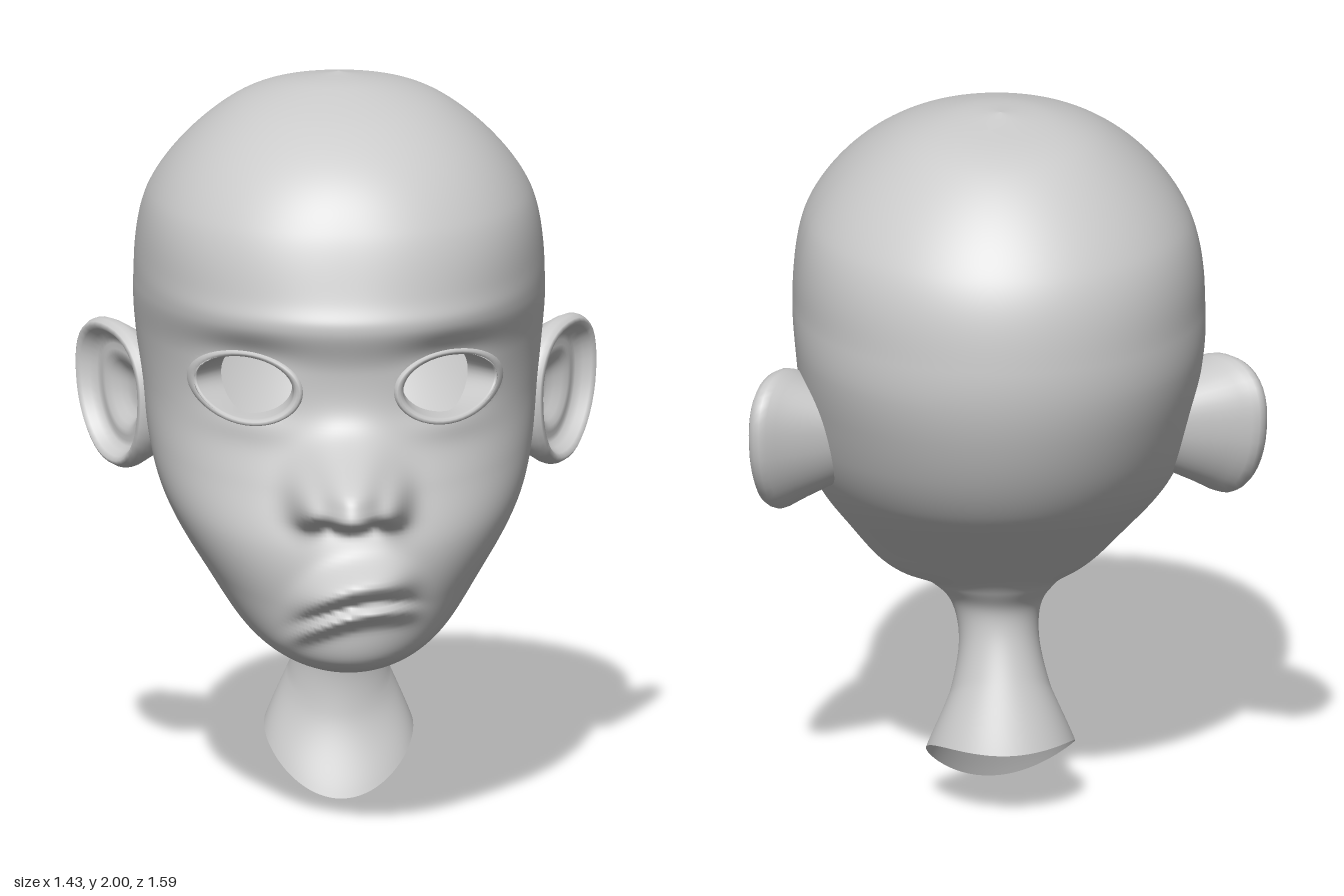
import * as THREE from 'three';

const curve = (pts) => new THREE.CatmullRomCurve3(pts.map((p) => new THREE.Vector3(...p)), false, 'catmullrom');
const bell = (d) => Math.exp(-d * d);
const bump = (x, y, cx, cy, sx, sy) => bell((x - cx) / sx) * bell((y - cy) / sy);

// Front profile from neck base over chin, mouth and brow to the crown: z, y
const FRONT = curve([
  [0.01, 0], [-0.06, 0.22], [-0.04, 0.41], [0.1, 0.52], [0.28, 0.53], [0.49, 0.468], [0.63, 0.51],
  [0.66, 0.66], [0.655, 0.82], [0.585, 0.98], [0.52, 1.14], [0.51, 1.3], [0.545, 1.42], [0.52, 1.5],
  [0.46, 1.68], [0.355, 1.82], [0.19, 1.92], [-0.03, 1.985], [-0.2, 2],
]);
// Back profile from nape to crown: z, y, with the half width of the head there
const BACK = curve([
  [-0.41, 0.2, 0.205], [-0.285, 0.51, 0.11], [-0.32, 0.64, 0.175], [-0.43, 0.76, 0.32], [-0.64, 0.97, 0.495],
  [-0.755, 1.21, 0.545], [-0.785, 1.44, 0.565], [-0.725, 1.69, 0.525], [-0.5, 1.92, 0.305], [-0.2, 2, 0],
]);
// Ear section from its root behind, over the rim, into the bowl: scale, outward offset
const EAR = curve([[0.55, -0.17], [0.84, -0.06], [1, 0], [0.9, 0.036], [0.72, -0.01], [0.5, -0.012], [0.25, -0.045], [0, -0.05]]);

const HALF = 80, COLS = HALF * 2, ROWS = 253;
const EYE = { x: 0.28, y: 1.245, a: 0.137, b: 0.09 };

// Forward relief of nose, lips and brow
function relief(x, y) {
  const ax = Math.abs(x);
  // nose: long slope above the tip, blunt step below, wings and nostrils
  const ridge = y > 0.99 ? bell((y - 0.99) / 0.1) : Math.exp(-(((0.99 - y) / 0.09) ** 6));
  let d = 0.205 * ridge * Math.exp(-((ax / 0.105) ** 2.4));
  d += 0.075 * bump(ax, y, 0.12, 0.96, 0.042, 0.06);
  d -= 0.06 * bump(ax, y, 0.06, 0.91, 0.03, 0.02);
  // crooked, downturned lips
  const m = y - (0.685 + 0.23 * x - 1.4 * x * x);
  const lips = 0.1 * bell((m - 0.055) / 0.05) + 0.065 * bell((m + 0.028) / 0.03) - 0.025 * bell(m / 0.015);
  d += lips * Math.exp(-(((x - 0.01) / 0.15) ** 4));
  // hollow under the brow, lower lid
  d -= 0.02 * bump(ax, y, 0.28, 1.345, 0.12, 0.05);
  d += 0.012 * bump(ax, y, 0.28, 1.14, 0.12, 0.04);
  return d;
}

// Closed loops joined into a surface
function loops(rows, cols, point, { flip = false, keep = () => true } = {}) {
  const pos = [], index = [];
  for (let i = 0; i < rows; i++) for (let j = 0; j < cols; j++) pos.push(...point(i, j));
  for (let i = 0; i < rows - 1; i++) for (let j = 0; j < cols; j++) {
    const a = i * cols + j, b = i * cols + ((j + 1) % cols), c = a + cols, d = b + cols;
    for (const t of [[a, b, c], [b, d, c]]) if (keep(t)) index.push(...(flip ? t.reverse() : t));
  }
  const g = new THREE.BufferGeometry();
  g.setAttribute('position', new THREE.Float32BufferAttribute(pos, 3));
  g.setIndex(index);
  g.computeVertexNormals();
  return g;
}

export function createModel() {
  const model = new THREE.Group();
  model.name = 'head';
  const add = (geo, name) => {
    const mesh = new THREE.Mesh(geo, new THREE.MeshStandardMaterial({ color: 0xcccccc, side: THREE.DoubleSide }));
    mesh.name = name;
    model.add(mesh);
  };

  // Face, skull and neck in one skin of tilted loops, open at the eyes and neck
  const face = [], inEye = new Set();
  const skinPoint = (i, j) => {
    const { x: zf, y: yf } = FRONT.getPoint(i / (ROWS - 1));
    const { x: zb, y: yb, z: w } = BACK.getPoint(i / (ROWS - 1));
    const side = j <= HALF ? 1 : -1;
    const t = Math.PI * ((j <= HALF ? j : COLS - j) / HALF) ** 1.4; // columns crowd towards the face
    const front = t < Math.PI / 2;
    const widest = 0.5 + 0.04 * bell((yf - 1.4) / 0.4);
    const e = front ? 2 / (2 + 0.25 * bell((yf - 1.6) / 0.2)) : 1; // squarer forehead
    const co = Math.abs(Math.cos(t)) ** e;
    const f = front ? widest * (1 - co) : widest + (1 - widest) * co;
    const lift = 0.065 * Math.max(0, 1 - yf / 0.25); // curved neck rim
    let x = side * w * Math.abs(Math.sin(t)) ** e;
    let y = yf + (yb - yf) * f + lift * Math.sin(t) ** 2;
    let z = zf + (zb - zf) * f;
    if (front && z > 0.15 && y > 0.46) {
      z += relief(x, y);
      face.push([x, y, z]);
      // clear the eye opening and pull its edge onto an ellipse
      const dx = Math.abs(x) - EYE.x, dy = y - EYE.y, d = Math.hypot(dx / EYE.a, dy / EYE.b);
      if (d < 0.75) inEye.add(i * COLS + j);
      else if (d < 1) {
        x = side * (EYE.x + dx / d);
        y = EYE.y + dy / d;
      }
    }
    return [x, y, z];
  };
  add(loops(ROWS, COLS, skinPoint, { keep: (t) => !t.some((v) => inEye.has(v)) }), 'skin');

  // Depth of the face at a given place
  const depth = (x, y) => {
    let sum = 0, total = 1e-9;
    for (const q of face) {
      const r = ((q[0] - x) ** 2 + (q[1] - y) ** 2) / 0.0003;
      if (r < 8) {
        const k = Math.exp(-r);
        sum += k * q[2];
        total += k;
      }
    }
    return sum / total;
  };

  for (const s of [1, -1]) {
    const name = s > 0 ? 'left' : 'right';

    // Eyelid: a half-round rim, then a wall going back into the socket
    const lid = loops(8, 48, (i, j) => {
      const a = (j / 48) * Math.PI * 2, phi = (Math.min(i, 5) / 5) * Math.PI, back = Math.max(0, i - 5) / 2;
      const k = 1.04 + 0.1 * Math.cos(phi);
      const x = EYE.x + Math.cos(a) * EYE.a * k, y = EYE.y + Math.sin(a) * EYE.b * k;
      const z = depth(s * x, y) + 0.017 * Math.sin(phi) - 0.004 - 0.08 * back;
      return [s * (x - 0.07 * back * Math.max(0, Math.cos(a))), y, z];
    }, { flip: s < 0 });
    add(lid, name + 'Eyelid');

    // Ear: broad at the top, narrow at the lobe, flaring backwards from a root set forward
    const ear = loops(22, 40, (i, j) => {
      const { x: k, y: out } = EAR.getPoint(i / 21);
      const a = (j / 40) * Math.PI * 2, ca = Math.cos(a), sa = Math.sin(a);
      const u = k * 0.185 * Math.sign(ca) * Math.abs(ca) ** 0.9 * (1 + 0.14 * sa) + 0.5 * Math.min(0, out);
      const v = k * 0.2 * Math.sign(sa) * Math.abs(sa) ** 0.9;
      return [s * (0.605 + 0.47 * u + 0.88 * out), 1.09 + v + 0.03 * ca * k, -0.25 - 0.88 * u + 0.47 * out];
    }, { flip: s < 0 });
    add(ear, name + 'Ear');
  }
  return model;
}
